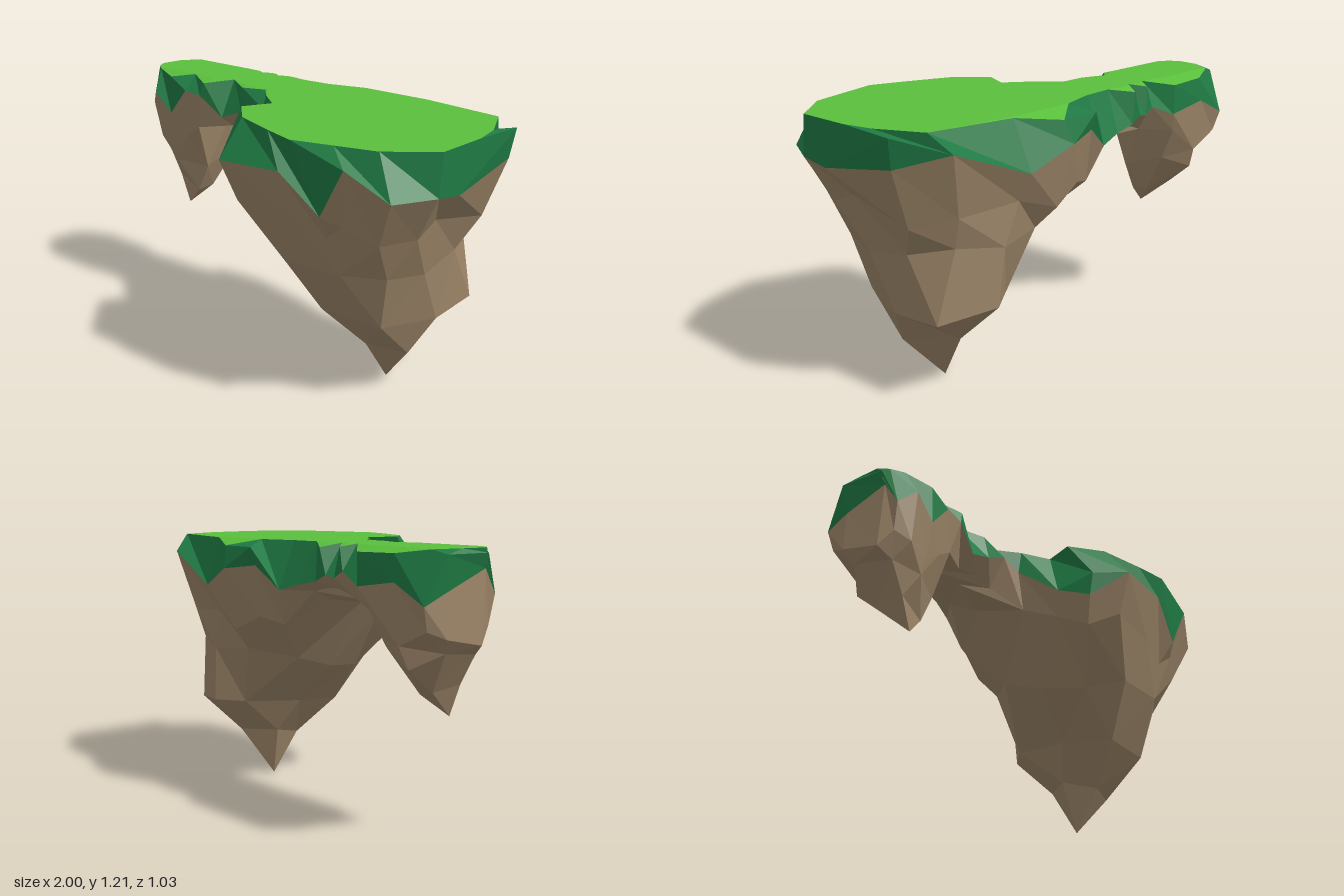
import * as THREE from 'three';

const TOP = 1.21;

// Outline stations, clockwise from above:
// [rim x, rim z, rim bottom y, turf x, turf z, optional height of a sharp rim shoulder]
const SMALL = [
  [-.58, 0, 1.13, -.56, -.01], [-.68, 0, 1.14, -.68, -.07], [-.79, 0, 1.01, -.79, -.01],
  [-.9, 0, 1.1, -.92, -.06], [-.97, -.05, 1.03, -.97, -.1], [-1, -.12, 1.13, -1, -.15, 1.19],
  [-1, -.33, 1.05, -.99, -.25, 1.19], [-.97, -.42, 1.0, -.93, -.35], [-.8, -.42, 1.08, -.79, -.41],
  [-.58, -.42, 1.05, -.58, -.42],
];
const BRIDGE_BACK = [
  [-.45, -.39, 1.1, -.46, -.32], [-.4, -.395, 1.07, -.42, -.38], [-.35, -.4, 1.08, -.36, -.32],
  [-.29, -.405, 1.05, -.31, -.4], [-.18, -.41, 1.03, -.2, -.33],
];
const BIG = [
  [-.06, -.43, 1.0, -.05, -.34], [.07, -.49, 1.1, .13, -.39, 1.18], [.24, -.52, 1.08, .27, -.49],
  [.45, -.48, .99, .47, -.4], [.82, -.43, 1.13, .87, -.34], [1, -.27, 1.07, .97, -.14, 1.2],
  [1, .13, 1.01, 1, 0], [1, .27, 1.03, 1, .25], [.91, .45, 1.03, .82, .41],
  [.73, .51, 1.14, .64, .46], [.6, .49, .92, .46, .51], [.4, .51, 1.07, .3, .46],
  [.07, .51, 1.05, .08, .38], [-.03, .37, .93, -.05, .25, 1.04], [-.06, .2, .98, .01, .12],
  [-.12, .02, 1.1, -.11, .03],
];
const BRIDGE_FRONT = [
  [-.2, -.01, 1.15, -.2, -.06], [-.32, -.02, 1.09, -.33, -.04], [-.45, -.02, 1.04, -.45, -.11],
];

// Cross-sections of the hanging rocks, top to tip, as [x, y, z]
const BIG_RINGS = [
  [[.12, .66, -.2], [.3, .7, -.36], [.52, .68, -.4], [.73, .71, -.33], [.82, .66, -.14],
    [.83, .62, .09], [.78, .64, .28], [.61, .64, .37], [.3, .62, .36], [.2, .58, .2], [.14, .6, 0]],
  [[.42, .42, -.3], [.55, .42, -.39], [.81, .39, -.3], [.81, .37, -.04], [.72, .39, .23],
    [.4, .38, .23], [.36, .4, -.02]],
  [[.6, .24, -.21], [.72, .2, .03], [.53, .2, .08], [.47, .24, -.08]],
  [[.55, 0, -.05]],
];
const SMALL_RINGS = [
  [[-.64, .74, -.1], [-.8, .76, -.04], [-.92, .79, -.1], [-.94, .81, -.28], [-.82, .74, -.36],
    [-.64, .81, -.32]],
  [[-.71, .6, -.1], [-.84, .66, -.1], [-.83, .64, -.24], [-.7, .61, -.19]],
  [[-.78, .52, -.1]],
];

const V = (x, y, z) => new THREE.Vector3(x, y, z);

// Triangles joining an upper closed loop to a lower one; unequal loops take the shorter diagonal
function stitch(a, b) {
  const tris = [], n = a.length, m = b.length;
  const add = (p, q, r) => {
    if (!p.equals(q) && !q.equals(r) && !r.equals(p)) tris.push(p, q, r);
  };
  const shorter = (i, j) => a[(i + 1) % n].distanceTo(b[j % m]) <= b[(j + 1) % m].distanceTo(a[i % n]);
  let i = 0, j = 0;
  while (i < n || (m > 1 && j < m)) {
    const stepA = m === 1 || j >= m || (i < n && (n === m ? i <= j : shorter(i, j)));
    if (stepA) {
      add(a[i % n], a[(i + 1) % n], b[j % m]);
      i++;
    } else {
      add(a[i % n], b[(j + 1) % m], b[j % m]);
      j++;
    }
  }
  return tris;
}

// Fill a loop with faces that look up (1) or down (-1)
function cap(loop, facing) {
  const flat = loop.map(p => new THREE.Vector2(p.x, p.z));
  const tris = [];
  for (const [i, j, k] of THREE.ShapeUtils.triangulateShape(flat, [])) {
    const [a, b, c] = [loop[i], loop[j], loop[k]];
    const ny = (b.z - a.z) * (c.x - a.x) - (b.x - a.x) * (c.z - a.z);
    tris.push(...(ny * facing > 0 ? [a, b, c] : [a, c, b]));
  }
  return tris;
}

// Hanging rock: rings narrowing to a point
function spike(loop, rings) {
  const loops = [loop, ...rings.map(ring => ring.map(p => V(...p)))];
  return loops.slice(1).flatMap((lower, i) => stitch(loops[i], lower));
}

function facets(name, tris, material) {
  const geometry = new THREE.BufferGeometry().setFromPoints(tris);
  geometry.computeVertexNormals();
  const mesh = new THREE.Mesh(geometry, material);
  mesh.name = name;
  return mesh;
}

export function createModel() {
  const turf = new THREE.MeshStandardMaterial({ color: 0x59bf3b });
  turf.name = 'bright grass';
  const edge = new THREE.MeshStandardMaterial({ color: 0x1f7a44 });
  edge.name = 'dark grass';
  const stone = new THREE.MeshStandardMaterial({ color: 0x9c8568 });
  stone.name = 'brown rock';

  // Level lawn, with the turf teeth drooping beyond it
  const outline = [...SMALL, ...BRIDGE_BACK, ...BIG, ...BRIDGE_FRONT];
  const lawnLoop = outline.map(([, , , x, z]) => V(
    x, TOP, Math.min(Math.max(z, x < 0 ? -.34 : -.39), x < -.15 ? -.07 : 1)
  ));
  const turfLoop = outline.map(([, , , x, z], i) => V(x, TOP - .3 * Math.abs(z - lawnLoop[i].z), z));
  const shoulderLoop = outline.map(([x, z, y, , , shoulder = y]) => V(x, shoulder, z));
  const rimLoop = outline.map(([x, z, y, , , shoulder]) => (
    shoulder ? V(x * .98, y, z * .95) : V(x, y, z)
  ));

  // Lower edge of the upper rock band, pulled in towards each section's middle
  const smallLow = SMALL.map(([x, z], i) => V(
    -.78 + (x + .78) * (x > -.78 ? .8 : .93),
    i === 0 || i === 9 ? .96 : .87 + .04 * Math.sin(i * 2.1),
    -.21 + (z + .21) * .87
  ));
  const bigLow = BIG.map(([x, z], i) => V(
    .48 + (x - .48) * (x > .48 ? .78 : .92),
    i === 15 ? .92 : .84 + .04 * Math.sin(i * 2.3),
    z * .86
  ));
  const bridgeLow = ([x, z]) => V(x, 1.02 - 1.5 * (x + .3) ** 2, -.21 + (z + .21) * .6);
  const backLow = BRIDGE_BACK.map(bridgeLow);
  const frontLow = BRIDGE_FRONT.map(bridgeLow);
  const smallJoin = V(-.6, .95, -.2);
  const bridgeMid = V(-.3, 1.01, -.2);
  const bigJoin = V(-.12, .95, -.2);

  const model = new THREE.Group();
  model.name = 'floatingIsland';
  model.add(
    facets('grassTop', [...cap(lawnLoop, 1), ...stitch(lawnLoop, turfLoop)], turf),
    facets('grassRim', [...stitch(turfLoop, shoulderLoop), ...stitch(shoulderLoop, rimLoop)], edge),
    facets('upperRock', stitch(rimLoop, [...smallLow, ...backLow, ...bigLow, ...frontLow]), stone),
    facets('bridgeUnderside', [
      ...cap([smallLow[9], ...backLow, bigLow[0], bigJoin, bridgeMid, smallJoin], -1),
      ...cap([bigLow[15], ...frontLow, smallLow[0], smallJoin, bridgeMid, bigJoin], -1),
    ], stone),
    facets('largeHangingRock', spike([...bigLow, bigJoin], BIG_RINGS), stone),
    facets('smallHangingRock', spike([...smallLow, smallJoin], SMALL_RINGS), stone)
  );
  return model;
}
